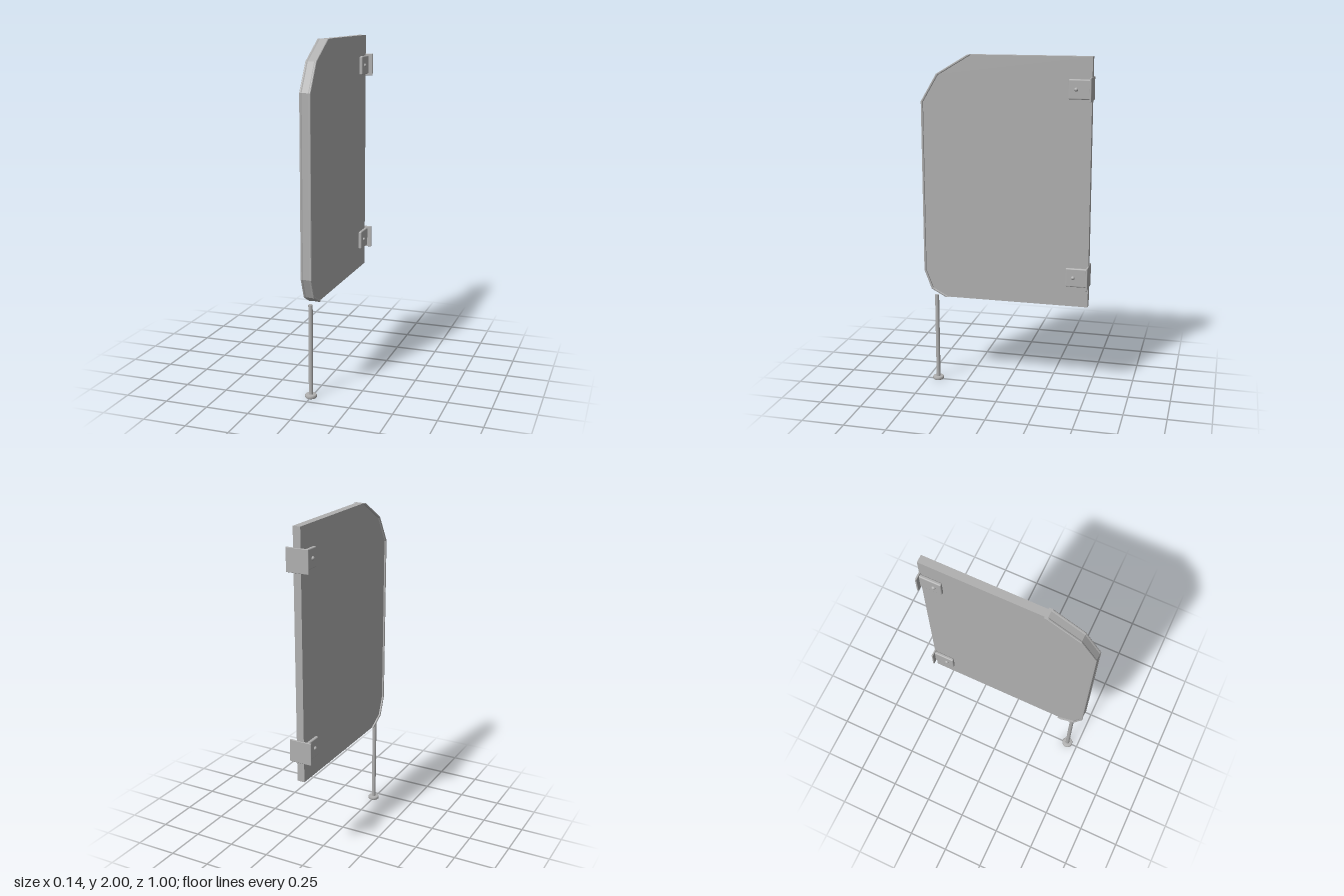
import * as THREE from 'three';
import { RoundedBoxGeometry } from 'three/addons/geometries/RoundedBoxGeometry.js';

const HALF = 0.0225; // half the panel thickness
// Free edge of the panel as [z, y], from the top round the front to the bottom
const EDGE = [[0.22, 2], [0.405, 1.89], [0.5, 1.73], [0.5, 0.71], [0.455, 0.595], [0.37, 0.55]];

// Edge moved inward by d, with mitred corners and ends cut level
function insetEdge(d) {
  const normals = EDGE.slice(1).map(([z, y], i) => {
    const dz = z - EDGE[i][0], dy = y - EDGE[i][1], l = Math.hypot(dz, dy);
    return [dy / l, -dz / l];
  });
  return EDGE.map(([z, y], i) => {
    const a = normals[i - 1], b = normals[i];
    if (!a || !b) return [z + d / (a || b)[0], y];
    const s = d / (1 + a[0] * b[0] + a[1] * b[1]);
    return [z + (a[0] + b[0]) * s, y + (a[1] + b[1]) * s];
  });
}

function panelGeometry() {
  const outline = [[-0.498, 2], ...insetEdge(0.004), [-0.498, 0.55]];
  const shape = new THREE.Shape(outline.map(([z, y]) => new THREE.Vector2(-z, y)));
  const geo = new THREE.ExtrudeGeometry(shape, { depth: HALF * 2, bevelEnabled: false });
  return geo.rotateY(Math.PI / 2).translate(-HALF, 0, 0);
}

// Edge trim: a channel with two raised rails, swept along the free edge
function trimGeometry() {
  const side = [[0.022, 0.012], [0.03, 0.012], [0.032, 0.009], [0.032, 0.003], [0.029, 0], [0.024, 0], [0.018, 0.003]];
  const profile = [...side.map(([x, d]) => [-x, d]), ...side.slice().reverse()];
  const n = profile.length;
  const loops = profile.map(([x, d]) => insetEdge(d).map(([z, y]) => [x, y, z]));
  const pos = [];
  const tri = (a, b, c) => pos.push(...a, ...b, ...c);
  const last = EDGE.length - 1;
  const hub = insetEdge(0.012).map(([z, y]) => [0, y, z]);
  for (let i = 0; i < n; i++) {
    const p = loops[i], q = loops[(i + 1) % n];
    for (let k = 0; k < last; k++) {
      tri(p[k], p[k + 1], q[k]);
      tri(q[k], p[k + 1], q[k + 1]);
    }
    tri(hub[0], p[0], q[0]);
    tri(hub[last], q[last], p[last]);
  }
  const geo = new THREE.BufferGeometry();
  geo.setAttribute('position', new THREE.Float32BufferAttribute(pos, 3));
  geo.computeVertexNormals();
  return geo;
}

export function createModel() {
  const metal = new THREE.MeshStandardMaterial({ color: 0xb0b0b0 });
  metal.name = 'grey metal';
  const model = new THREE.Group();
  model.name = 'partitionPanel';
  const add = (parent, name, geo, x = 0, y = 0, z = 0) => {
    const mesh = new THREE.Mesh(geo, metal);
    mesh.name = name;
    mesh.position.set(x, y, z);
    parent.add(mesh);
    return mesh;
  };

  add(model, 'panel', panelGeometry());
  add(model, 'edgeTrim', trimGeometry());

  // Wall brackets: a back plate with a screwed cheek on each face of the panel
  for (const [name, y] of [['upperBracket', 1.82], ['lowerBracket', 0.73]]) {
    const bracket = new THREE.Group();
    bracket.name = name;
    bracket.position.y = y;
    add(bracket, 'wallPlate', new RoundedBoxGeometry(0.136, 0.134, 0.01, 2, 0.003), 0, 0, -0.495);
    for (const s of [-1, 1]) {
      add(bracket, 'cheek', new RoundedBoxGeometry(0.02, 0.112, 0.13, 3, 0.007), s * 0.0325, 0, -0.432);
      const head = new THREE.SphereGeometry(0.0115, 16, 8, 0, Math.PI * 2, 0, Math.PI / 2);
      add(bracket, 'screwHead', head, s * 0.042, 0, -0.411).rotation.z = -s * Math.PI / 2;
    }
    model.add(bracket);
  }

  // Support leg under the front corner
  add(model, 'leg', new THREE.CylinderGeometry(0.0125, 0.0125, 0.535, 20), 0, 0.2825, 0.432);
  const foot = [[0, 0], [0.03, 0], [0.034, 0.004], [0.034, 0.015], [0.03, 0.02], [0, 0.02]];
  add(model, 'foot', new THREE.LatheGeometry(foot.map(([r, h]) => new THREE.Vector2(r, h)), 24), 0, 0, 0.432);

  return model;
}
